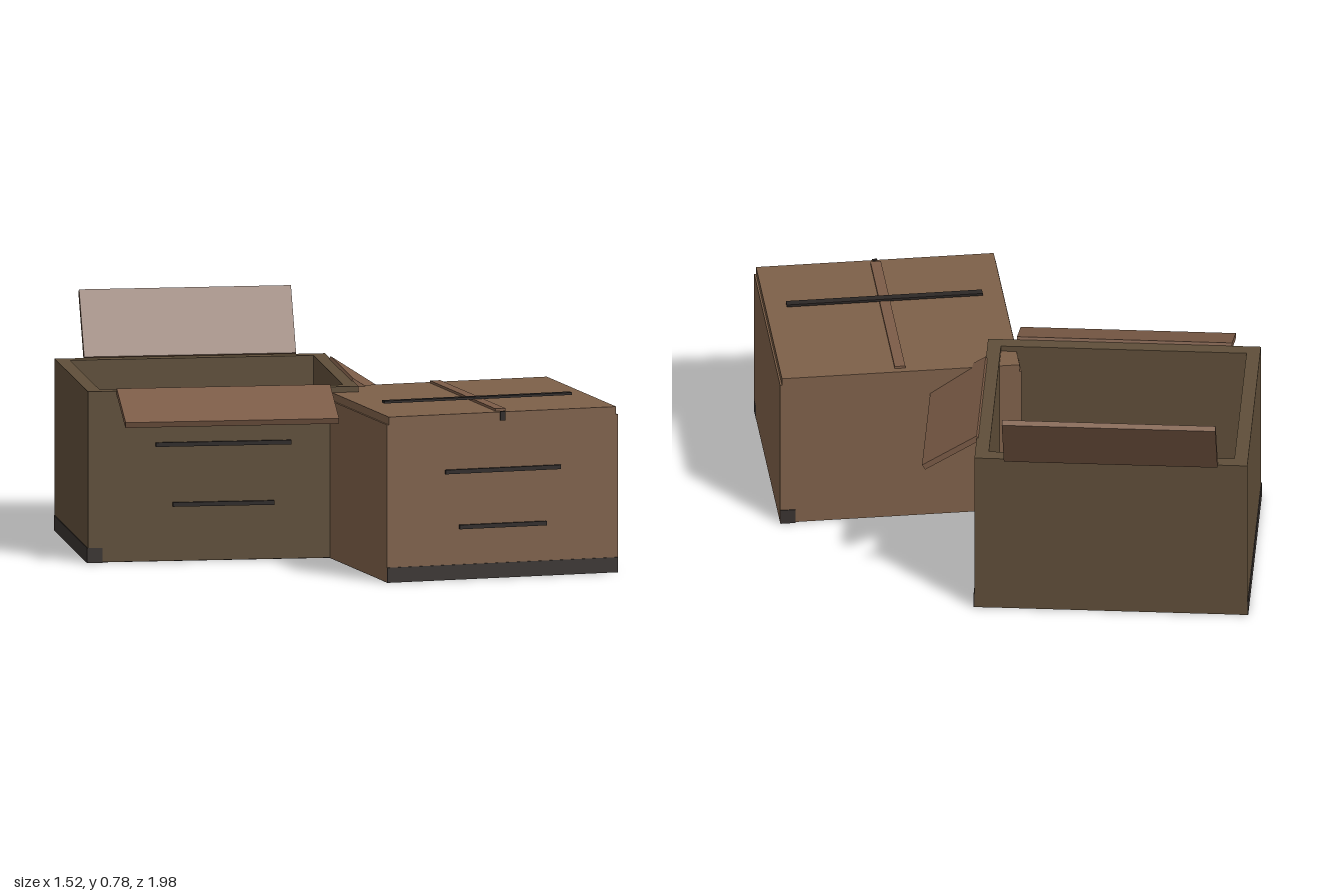
import * as THREE from 'three';

const mat = (color) => new THREE.MeshStandardMaterial({ color, flatShading: true, roughness: 0.9 });
const rad = THREE.MathUtils.degToRad;

export function createModel() {
  const model = new THREE.Group();
  const card = mat(0x7d6049);
  const flapCard = mat(0x7c5c47);
  const oldCard = mat(0x5f4e39);
  const dark = mat(0x38322f);
  const ink = mat(0x2c2725);

  // Box-shaped part: size, centre, material
  function block(parent, name, [w, h, d], [x, y, z], material) {
    const mesh = new THREE.Mesh(new THREE.BoxGeometry(w, h, d), material);
    mesh.name = name;
    mesh.position.set(x, y, z);
    parent.add(mesh);
    return mesh;
  }

  // Flap hinged at its inner edge: turn picks the side, droop tilts it down
  function flap(parent, name, width, length, x, z, turn, droop) {
    const geo = new THREE.BoxGeometry(width, 0.02, length).translate(0, 0, length / 2);
    const mesh = new THREE.Mesh(geo, flapCard);
    mesh.name = name;
    mesh.position.set(x, 0.57, z);
    mesh.rotation.set(rad(droop), rad(turn), 0, 'YXZ');
    parent.add(mesh);
  }

  // Two thin bars across the front face
  function frontBars(parent, w, d, heights) {
    [0.5, 0.375].forEach((k, i) =>
      block(parent, 'frontBar', [w * k, 0.014, 0.02], [0, heights[i], d / 2], ink));
  }

  // ---- Closed box ----
  const closed = new THREE.Group();
  closed.name = 'closedBox';
  closed.position.set(0.26, 0, 0.51);
  closed.rotation.y = rad(-20);
  model.add(closed);
  {
    const w = 0.8, d = 0.735;
    block(closed, 'body', [w, 0.523, d], [0, 0.2635, 0], card);
    block(closed, 'lid', [w - 0.012, 0.026, d], [0, 0.538, 0], card);
    block(closed, 'basePanel', [w - 0.02, 0.04, d - 0.02], [0, 0.02, 0], dark);
    block(closed, 'frontBaseStrip', [w, 0.05, 0.05], [0, 0.025, d / 2 - 0.022], dark);
    for (const s of [-1, 1]) {
      block(closed, 'sideBaseStrip', [0.05, 0.05, d], [s * (w / 2 - 0.026), 0.025, -0.003], dark);
    }
    // Tape along the seam, with a dark band across it
    block(closed, 'seamTape', [0.035, 0.008, 0.69], [0, 0.555, 0], flapCard);
    block(closed, 'crossBand', [0.65, 0.008, 0.026], [0, 0.562, 0.097], ink);
    block(closed, 'seamEnd', [0.016, 0.03, 0.01], [0, 0.538, d / 2], ink);
    frontBars(closed, w, d, [0.36, 0.175]);
  }

  // ---- Open box ----
  const open = new THREE.Group();
  open.name = 'openBox';
  open.position.set(-0.148, 0, -0.364);
  open.rotation.y = rad(-30);
  model.add(open);
  {
    const w = 0.9, d = 0.78, h = 0.57, t = 0.045;
    for (const s of [-1, 1]) {
      block(open, 'sideWall', [t, h - 0.002, d], [s * (w - t) / 2, h / 2 + 0.001, 0], oldCard);
      block(open, 'endWall', [w - 2 * t, h - 0.002, t], [0, h / 2 + 0.001, s * (d - t) / 2], oldCard);
      block(open, 'sideBaseStrip', [0.05, 0.05, d], [s * (w / 2 - 0.022), 0.025, 0.003], dark);
    }
    block(open, 'floor', [w - 0.02, 0.05, d - 0.02], [0, 0.025, 0], dark);
    frontBars(open, w, d, [0.39, 0.19]);
    flap(open, 'frontFlap', 0.71, 0.225, 0, d / 2, 0, 22);
    flap(open, 'rightFlap', 0.52, 0.215, w / 2 - 0.005, 0, 90, 33);
    flap(open, 'backFlap', 0.705, 0.24, 0, -d / 2, 180, -60);
  }

  return model;
}
